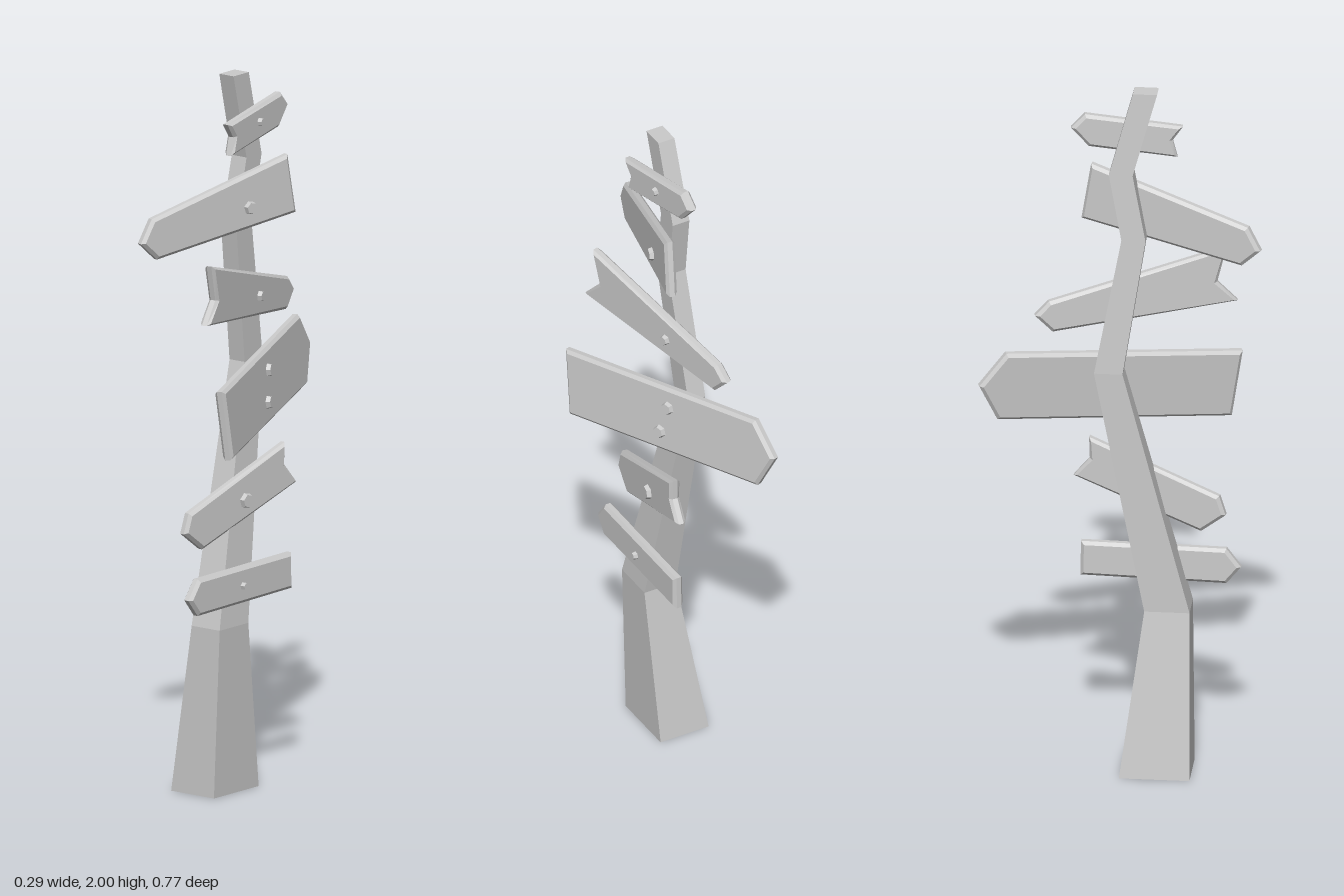
import * as THREE from 'three';

const material = new THREE.MeshStandardMaterial({ color: 0xcccccc, flatShading: true });

// Crooked post: rectangular sections [y, xMin, xMax, zMin, zMax]
const SECTIONS = [
  [0, -0.14, 0.01, 0, 0.193],
  [0.47, -0.073, 0.025, 0.063, 0.187],
  [1.18, -0.088, -0.035, -0.073, 0.005],
  [1.57, -0.068, -0.014, 0.0, 0.066],
  [1.76, -0.06, -0.008, -0.035, 0.03],
  [2, -0.05, 0, 0.03, 0.096],
];

// Boards: outline as [along, height], where along runs towards -z;
// slope is the sideways drift dx/dz, x the offset at z = 0, bolts [along, height, radius]
const BOARDS = [
  { name: 'topBoard', x: 0.004, slope: 0.12, tilt: 0,
    outline: [[-0.16, 1.88], [-0.132, 1.84], [-0.145, 1.79], [0.095, 1.825], [0.143, 1.88], [0.105, 1.92]],
    bolts: [[-0.01, 1.86, 0.013]] },
  { name: 'upperBoard', x: 0.008, slope: -0.27, tilt: 0,
    outline: [[0.09, 1.755], [-0.35, 1.635], [-0.385, 1.57], [-0.333, 1.52], [0.117, 1.59]],
    bolts: [[-0.037, 1.625, 0.02]] },
  { name: 'middleBoard', x: -0.01, slope: 0.25, tilt: 0,
    outline: [[-0.275, 1.51], [-0.25, 1.41], [-0.305, 1.35], [0.19, 1.29], [0.237, 1.34], [0.2, 1.38]],
    bolts: [[0.01, 1.367, 0.016]] },
  { name: 'largeBoard', x: 0.013, slope: 0.375, tilt: -0.08,
    outline: [[-0.31, 1.175], [-0.285, 0.978], [0.335, 1.045], [0.385, 1.153], [0.315, 1.245]],
    bolts: [[0.037, 1.155, 0.02], [0.016, 1.07, 0.02]] },
  { name: 'lowerBoard', x: 0.006, slope: -0.125, tilt: 0,
    outline: [[0.095, 0.947], [-0.265, 0.805], [-0.283, 0.75], [-0.215, 0.697], [0.138, 0.83], [0.093, 0.885]],
    bolts: [[-0.058, 0.81, 0.023]] },
  { name: 'bottomBoard', x: 0.019, slope: -0.01, tilt: 0,
    outline: [[-0.32, 0.577], [-0.28, 0.528], [0.12, 0.535], [0.118, 0.635], [-0.28, 0.63]],
    bolts: [[-0.095, 0.58, 0.012]] },
];

function makePost() {
  const rings = SECTIONS.map(([y, x0, x1, z0, z1]) =>
    [[x0, y, z1], [x1, y, z1], [x1, y, z0], [x0, y, z0]]);
  const positions = [];
  const quad = (a, b, c, d) => positions.push(...a, ...b, ...c, ...a, ...c, ...d);
  for (let i = 0; i < rings.length - 1; i++) {
    const low = rings[i], high = rings[i + 1];
    for (let k = 0; k < 4; k++) {
      const n = (k + 1) % 4;
      quad(low[k], low[n], high[n], high[k]);
    }
  }
  quad(...rings[rings.length - 1]);
  quad(...[...rings[0]].reverse());
  const geometry = new THREE.BufferGeometry();
  geometry.setAttribute('position', new THREE.Float32BufferAttribute(positions, 3));
  geometry.computeVertexNormals();
  const post = new THREE.Mesh(geometry, material);
  post.name = 'post';
  return post;
}

function makeBoard({ name, x, slope, tilt, outline, bolts }) {
  const group = new THREE.Group();
  group.name = name;
  const yaw = Math.atan(slope);
  const stretch = 1 / Math.cos(yaw);
  const heights = outline.map((p) => p[1]);
  const midY = (Math.min(...heights) + Math.max(...heights)) / 2;

  // Plank with chamfered edges
  const shape = new THREE.Shape(outline.map(([u, y]) => new THREE.Vector2(u * stretch, y - midY)));
  const geometry = new THREE.ExtrudeGeometry(shape, {
    depth: 0.014, bevelEnabled: true, bevelThickness: 0.008,
    bevelSize: 0.009, bevelOffset: -0.009, bevelSegments: 1,
  });
  geometry.translate(0, 0, -0.007);
  const plank = new THREE.Mesh(geometry, material);
  plank.name = 'plank';
  group.add(plank);

  // Bolt heads on the outer face
  for (const [u, y, radius] of bolts) {
    const bolt = new THREE.Mesh(new THREE.CylinderGeometry(radius * 0.8, radius, 0.014, 6), material);
    bolt.name = 'bolt';
    bolt.rotation.set(Math.PI / 2, 0.3, 0);
    bolt.position.set(u * stretch, y - midY, 0.02);
    group.add(bolt);
  }

  group.position.set(x, midY, 0);
  group.rotation.set(tilt, Math.PI / 2 + yaw, 0, 'YXZ');
  return group;
}

export function createModel() {
  const model = new THREE.Group();
  model.name = 'signpost';
  model.add(makePost(), ...BOARDS.map(makeBoard));
  return model;
}
